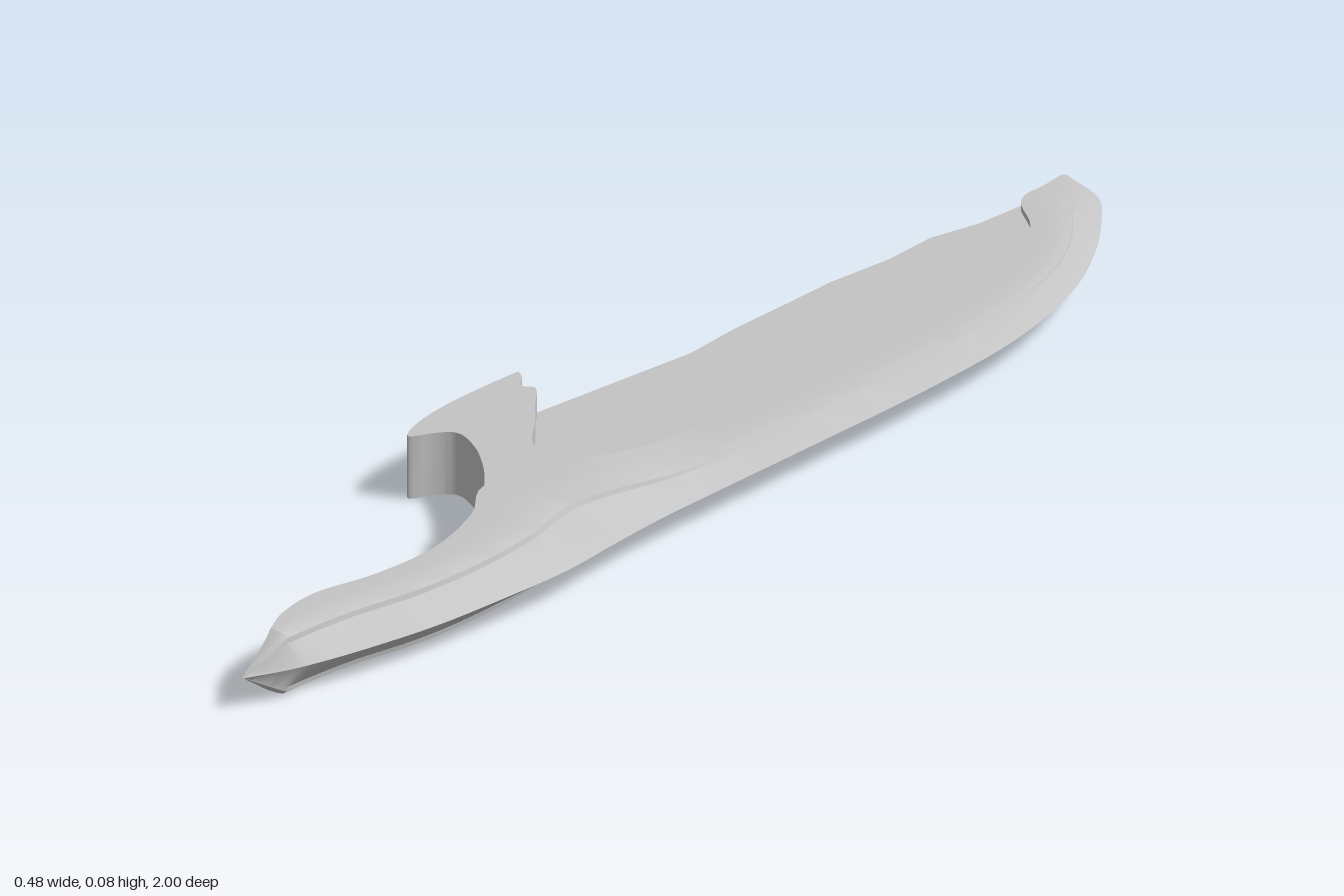
import * as THREE from 'three';
import { toCreasedNormals } from 'three/addons/utils/BufferGeometryUtils.js';

const MID = 0.0415; // height of the symmetry plane

// Half thickness of the body: thin along the blade, full at guard and handle
function halfThickness(x, z) {
  const t = THREE.MathUtils.smoothstep(z - 0.8 * (x + 0.2), -0.22, 0.04);
  const handle = THREE.MathUtils.smoothstep(z, 0.05, 0.32);
  const h = 0.02 + 0.0215 * Math.max(t, handle);
  const tip = Math.sqrt(THREE.MathUtils.clamp((z + 1) / 0.12, 0, 1));
  const butt = THREE.MathUtils.clamp((1 - z) / 0.07, 0, 1);
  return h * tip * butt;
}

// Mirrored top and bottom skins over ribs [x0, z0, x1, z1], closed by a wall.
// profile: [fraction across the rib, fraction of the half thickness]
function loft(ribs, steps, profile) {
  const curve = (k) => new THREE.CatmullRomCurve3(
    ribs.map((r) => new THREE.Vector3(r[k], 0, r[k + 1])), false, 'centripetal');
  const from = curve(0), to = curve(2);
  const n = (ribs.length - 1) * steps, m = profile.length - 1;
  const grid = [];
  for (let i = 0; i <= n; i++) {
    const a = from.getPoint(i / n), b = to.getPoint(i / n);
    grid.push(profile.map(([f, s]) => {
      const p = a.clone().lerp(b, f);
      p.y = s * halfThickness(p.x, p.z);
      return p;
    }));
  }
  const pos = [];
  const put = (p, side) => pos.push(p.x, MID + side * p.y, p.z);
  const tri = (a, b, c) => {
    [a, b, c].forEach((p) => put(p, 1));
    [a, c, b].forEach((p) => put(p, -1));
  };
  for (let i = 0; i < n; i++) {
    for (let j = 0; j < m; j++) {
      tri(grid[i][j], grid[i + 1][j], grid[i][j + 1]);
      tri(grid[i][j + 1], grid[i + 1][j], grid[i + 1][j + 1]);
    }
  }
  // Perimeter wall
  const loop = [];
  for (let i = 0; i < n; i++) loop.push(grid[i][0]);
  for (let j = 0; j < m; j++) loop.push(grid[n][j]);
  for (let i = n; i > 0; i--) loop.push(grid[i][m]);
  for (let j = m; j > 0; j--) loop.push(grid[0][j]);
  loop.forEach((p, k) => {
    const q = loop[(k + 1) % loop.length];
    put(p, 1); put(p, -1); put(q, 1);
    put(q, 1); put(p, -1); put(q, -1);
  });
  const geo = new THREE.BufferGeometry();
  geo.setAttribute('position', new THREE.Float32BufferAttribute(pos, 3));
  return toCreasedNormals(geo, 0.45);
}

export function createModel() {
  const group = new THREE.Group();
  const steel = new THREE.MeshStandardMaterial({ color: 0xc4c4c4 });
  steel.name = 'grey steel';
  const add = (name, geo) => {
    const mesh = new THREE.Mesh(geo, steel);
    mesh.name = name;
    group.add(mesh);
  };

  // Long curved body from blade tip to handle end, with a stepped bevel
  const bodyRibs = [
    [-0.24, -0.999, -0.237, -1],
    [-0.212, -0.93, -0.16, -0.97],
    [-0.19, -0.86, -0.1, -0.91],
    [-0.12, -0.8, -0.03, -0.82],
    [-0.06, -0.7, 0.04, -0.7],
    [-0.025, -0.55, 0.1, -0.53],
    [0.005, -0.35, 0.135, -0.33],
    [0.033, -0.1, 0.16, -0.1],
    [0.057, 0.08, 0.178, 0.08],
    [0.063, 0.17, 0.187, 0.17],
    [0.05, 0.225, 0.195, 0.24],
    [0.025, 0.375, 0.211, 0.34],
    [0.08, 0.46, 0.23, 0.45],
    [0.125, 0.58, 0.238, 0.6],
    [0.133, 0.7, 0.239, 0.7],
    [0.122, 0.8, 0.231, 0.8],
    [0.14, 0.88, 0.22, 0.88],
    [0.17, 0.94, 0.207, 0.94],
    [0.182, 1, 0.185, 1],
  ];
  add('bladeAndHandle', loft(bodyRibs, 5,
    [[0, 1], [0.25, 1], [0.45, 0.97], [0.63, 0.86], [0.645, 0.7], [1, 0]]));

  // Hooked guard branching off the body
  const guardRibs = [
    [0.06, 0.225, 0.06, 0.42],
    [0.0, 0.24, 0.02, 0.37],
    [-0.03, 0.225, -0.02, 0.328],
    [-0.08, 0.165, -0.08, 0.28],
    [-0.125, 0.115, -0.125, 0.262],
    [-0.145, 0.09, -0.145, 0.282],
    [-0.16, 0.078, -0.16, 0.312],
    [-0.175, 0.085, -0.18, 0.28],
    [-0.195, 0.062, -0.2, 0.2],
    [-0.212, 0.05, -0.21, 0.1],
  ];
  add('guard', loft(guardRibs, 4, [[0, 1], [0.33, 1], [0.67, 1], [1, 1]]));

  // Thin recessed panel with a worn back edge, tucked into body and guard
  const wornEdge = [[-0.15, 0.1], [-0.148, -0.2], [-0.165, -0.3], [-0.175, -0.4],
    [-0.186, -0.5], [-0.186, -0.61], [-0.198, -0.7], [-0.187, -0.78], [-0.19, -0.86]];
  const tucked = [[-0.15, -0.87], [-0.09, -0.8], [-0.03, -0.68], [0.01, -0.53], [0.04, -0.33],
    [0.065, -0.1], [0.085, 0.08], [0.09, 0.2], [0.05, 0.27], [-0.02, 0.26], [-0.12, 0.16]];
  const outline = new THREE.Shape(
    [...wornEdge, ...tucked].map(([x, z]) => new THREE.Vector2(x, -z)));
  const panel = new THREE.ExtrudeGeometry(outline, { depth: 0.024, bevelEnabled: false });
  panel.rotateX(-Math.PI / 2).translate(0, MID - 0.012, 0);
  add('recessedPanel', toCreasedNormals(panel, 0.5));

  return group;
}
